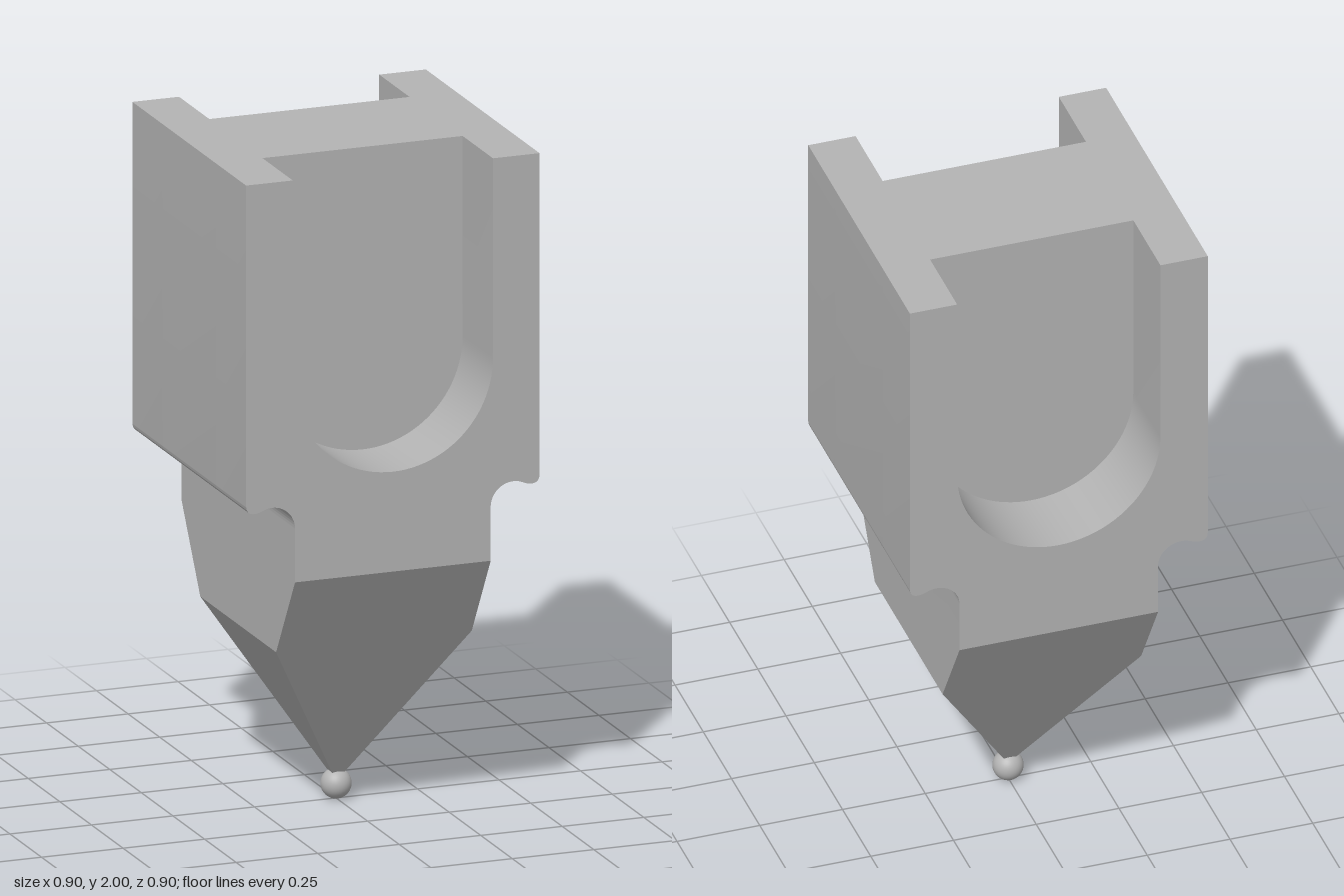
import * as THREE from 'three';
import { toCreasedNormals } from 'three/addons/utils/BufferGeometryUtils.js';

const TOP = 2, HALF = 0.45, NECK = 0.3, SHOULDER = 0.8;
const SLOT_R = 0.307, SLOT_Y = 1.405, WEB = 0.21;

// Front outline: wide head, rounded undercut lips, narrow neck; optional U slot from the top
function outline(slotted) {
  const s = new THREE.Shape();
  s.moveTo(-NECK, SHOULDER);
  s.lineTo(NECK, SHOULDER);
  s.lineTo(NECK, 0.96);
  s.absarc(0.37, 0.96, 0.07, Math.PI, Math.PI / 2, true);
  s.bezierCurveTo(0.395, 1.03, 0.405, 1.017, 0.425, 1.017);
  s.quadraticCurveTo(HALF, 1.017, HALF, 1.045);
  s.lineTo(HALF, TOP);
  if (slotted) {
    s.lineTo(SLOT_R, TOP);
    s.lineTo(SLOT_R, SLOT_Y);
    s.absarc(0, SLOT_Y, SLOT_R, 0, -Math.PI, true);
    s.lineTo(-SLOT_R, TOP);
  }
  s.lineTo(-HALF, TOP);
  s.lineTo(-HALF, 1.045);
  s.quadraticCurveTo(-HALF, 1.017, -0.425, 1.017);
  s.bezierCurveTo(-0.405, 1.017, -0.395, 1.03, -0.37, 1.03);
  s.absarc(-0.37, 0.96, 0.07, Math.PI / 2, 0, true);
  s.closePath();
  return s;
}

function slab(slotted, z0, z1) {
  const g = new THREE.ExtrudeGeometry(outline(slotted), { depth: z1 - z0, bevelEnabled: false, curveSegments: 24 });
  g.translate(0, 0, z0);
  return toCreasedNormals(g, 0.6);
}

// Faceted taper joined from rectangular sections [y, halfX, halfZ]
function taper(sections) {
  const corners = [[1, 1], [1, -1], [-1, -1], [-1, 1]];
  const point = ([y, hx, hz], k) => [corners[k % 4][0] * hx, y, corners[k % 4][1] * hz];
  const pos = [];
  for (let i = 0; i < sections.length - 1; i++) {
    const up = sections[i], low = sections[i + 1];
    for (let k = 0; k < 4; k++) {
      const a = point(up, k), b = point(up, k + 1), c = point(low, k), d = point(low, k + 1);
      if (low[1] > 0) pos.push(...c, ...d, ...b);
      pos.push(...c, ...b, ...a);
    }
  }
  const g = new THREE.BufferGeometry();
  g.setAttribute('position', new THREE.Float32BufferAttribute(pos, 3));
  g.computeVertexNormals();
  return g;
}

export function createModel() {
  const group = new THREE.Group();
  const metal = new THREE.MeshStandardMaterial({ color: 0xb3b3b3 });
  metal.name = 'greyMetal';
  const add = (name, geometry) => {
    const mesh = new THREE.Mesh(geometry, metal);
    mesh.name = name;
    group.add(mesh);
    return mesh;
  };

  // Head: solid web between two slotted plates
  add('web', slab(false, -WEB, WEB));
  add('frontSlottedPlate', slab(true, WEB, HALF));
  add('backSlottedPlate', slab(true, -HALF, -WEB));

  // Pointed lower end and ball tip
  add('taperedPoint', taper([[SHOULDER, NECK, HALF], [0.55, NECK, 0.3], [0.05, 0, 0]]));
  add('ballTip', new THREE.SphereGeometry(0.045, 32, 20)).position.y = 0.045;

  return group;
}
